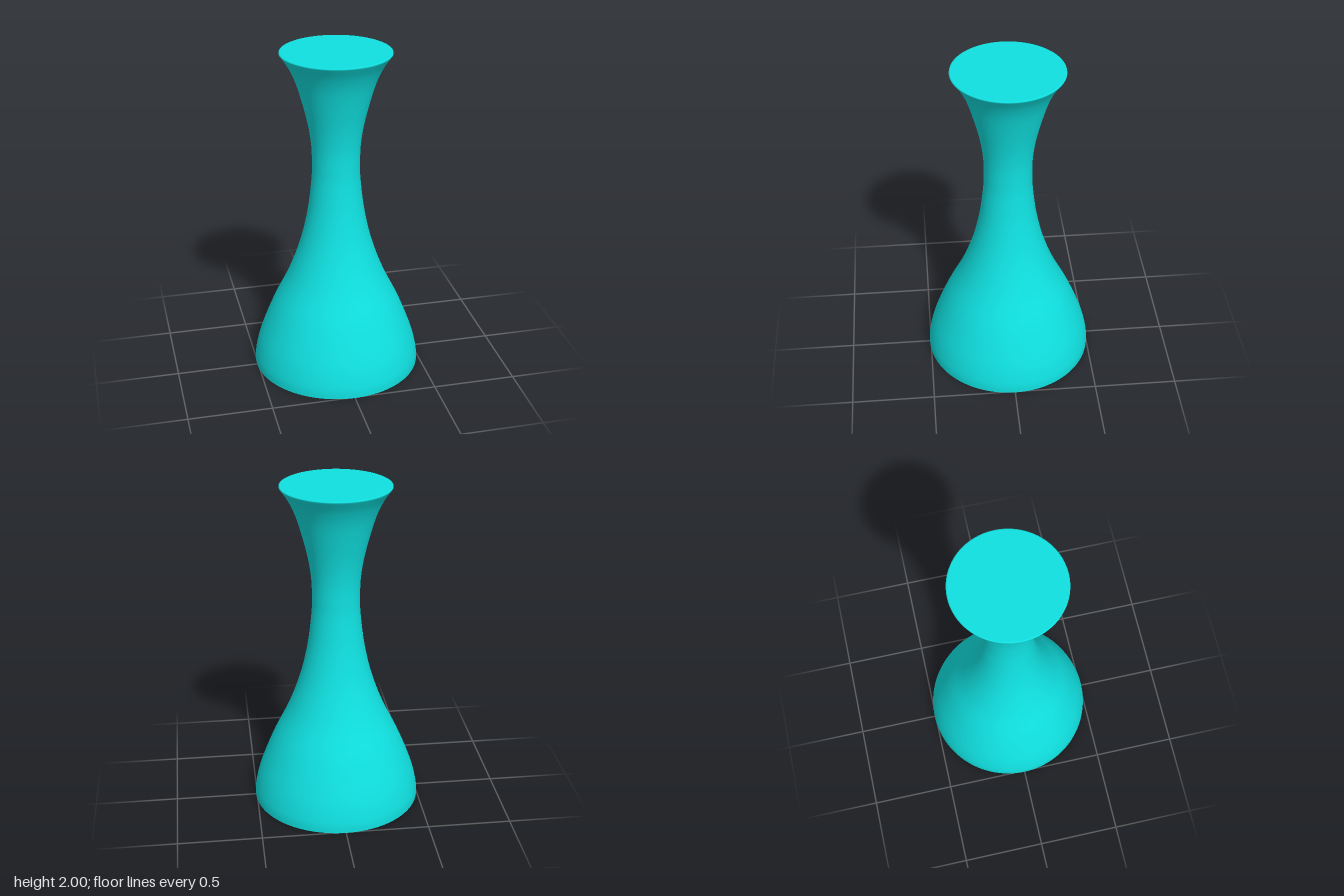
import * as THREE from 'three';

export function createModel() {
  const group = new THREE.Group();
  const material = new THREE.MeshStandardMaterial({ color: 0x10e0e0 });

  // Flared body: wide foot, slim neck, trumpet-shaped top
  const profile = new THREE.SplineCurve([
    [0.507, 0], [0.502, 0.07], [0.468, 0.2], [0.389, 0.4], [0.293, 0.6],
    [0.22, 0.8], [0.173, 1.0], [0.147, 1.2], [0.142, 1.32], [0.147, 1.45],
    [0.172, 1.6], [0.226, 1.8], [0.272, 1.91], [0.32, 1.985],
  ].map(([r, y]) => new THREE.Vector2(r, y))).getPoints(80);

  // Softly rounded rim at the top edge
  profile.push(
    new THREE.Vector2(0.326, 1.993),
    new THREE.Vector2(0.325, 1.998),
    new THREE.Vector2(0.32, 2),
  );
  const body = new THREE.Mesh(new THREE.LatheGeometry(profile, 128), material);
  body.name = 'body';
  group.add(body);

  // Flat discs closing both ends
  const addCap = (name, radius, y, tilt) => {
    const cap = new THREE.Mesh(new THREE.CircleGeometry(radius, 128), material);
    cap.name = name;
    cap.rotation.x = tilt;
    cap.position.y = y;
    group.add(cap);
  };
  addCap('topCap', 0.32, 2, -Math.PI / 2);
  addCap('baseCap', 0.507, 0, Math.PI / 2);

  return group;
}
